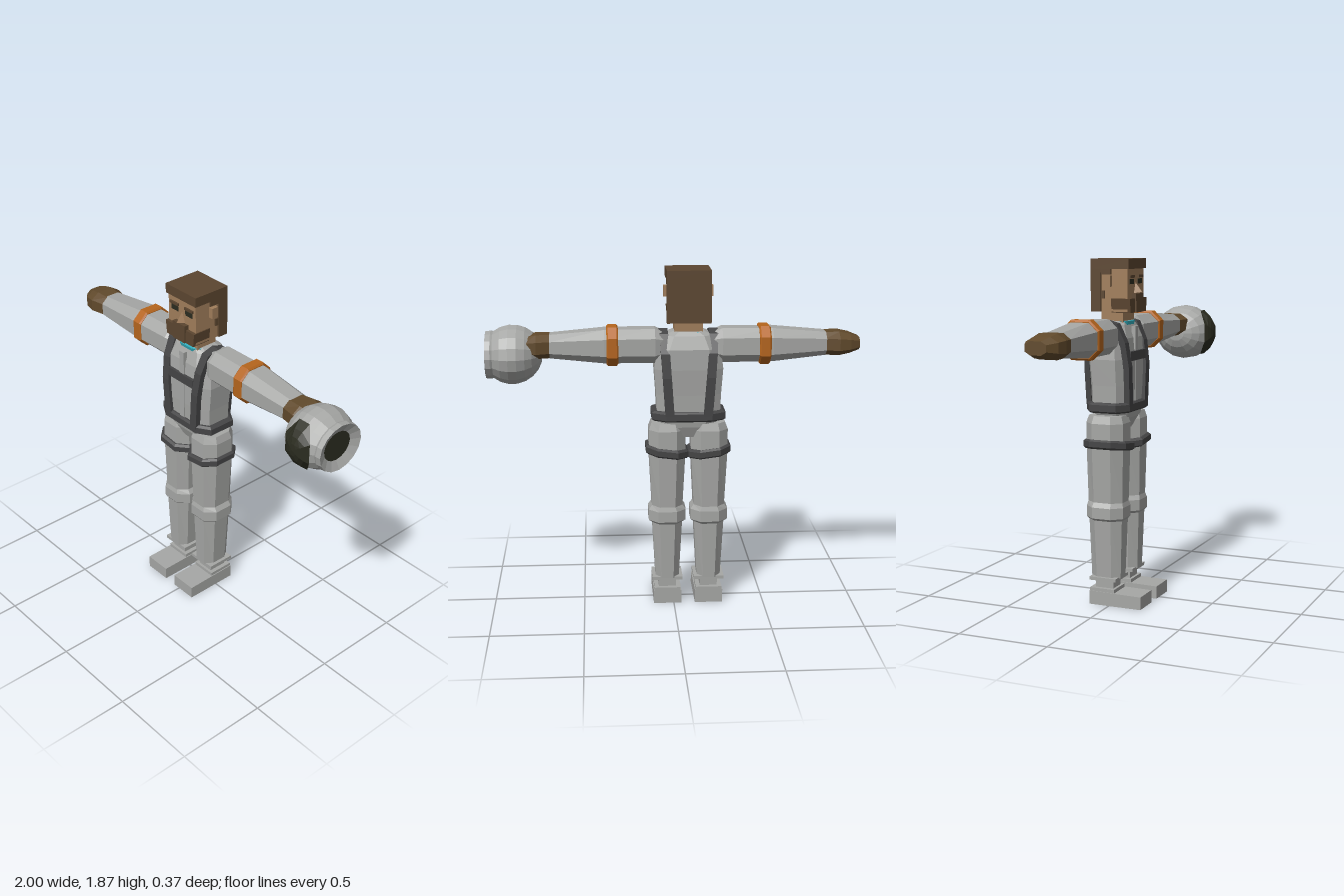
import * as THREE from 'three';
import { ConvexGeometry } from 'three/addons/geometries/ConvexGeometry.js';

const mat = (name, color, side = THREE.FrontSide) => {
  const m = new THREE.MeshStandardMaterial({ color, side });
  m.name = name;
  return m;
};

// Faceted copy of a geometry
const facet = (geo) => {
  const g = geo.index ? geo.toNonIndexed() : geo;
  g.computeVertexNormals();
  return g;
};

// Closed chamfered-octagon loft along y; section = [y, halfX, halfZ, centreZ]
function loft(sections, k = 0.5) {
  const ring = [[1, -k], [1, k], [k, 1], [-k, 1], [-1, k], [-1, -k], [-k, -1], [k, -1]];
  const pos = [], idx = [], n = ring.length;
  for (const [y, w, d, cz = 0] of sections)
    for (const [x, z] of ring) pos.push(x * w, y, cz + z * d);
  const last = (sections.length - 1) * n;
  for (let i = 0; i < last; i += n)
    for (let j = 0; j < n; j++) {
      const a = i + j, b = i + (j + 1) % n;
      idx.push(a, a + n, b + n, a, b + n, b);
    }
  for (let j = 1; j < n - 1; j++) idx.push(0, j, j + 1, last, last + j + 1, last + j);
  const g = new THREE.BufferGeometry();
  g.setAttribute('position', new THREE.Float32BufferAttribute(pos, 3));
  g.setIndex(idx);
  return facet(g);
}

// Box given by its limits
function block(x0, x1, y0, y1, z0, z1) {
  return new THREE.BoxGeometry(x1 - x0, y1 - y0, z1 - z0)
    .translate((x0 + x1) / 2, (y0 + y1) / 2, (z0 + z1) / 2);
}

// Move each vertex by a rule
function warp(g, rule) {
  const p = g.attributes.position, v = new THREE.Vector3();
  for (let i = 0; i < p.count; i++) {
    rule(v.fromBufferAttribute(p, i));
    p.setXYZ(i, v.x, v.y, v.z);
  }
  return facet(g);
}

export function createModel() {
  const suit = mat('suit grey', 0xa6a7a5);
  const webbing = mat('webbing dark grey', 0x454546);
  const orange = mat('armband orange', 0xb5651d);
  const glove = mat('glove brown', 0x614a2c);
  const hair = mat('hair brown', 0x5c4630);
  const skin = mat('skin', 0xa17e5b);
  const cyan = mat('collar cyan', 0x35b4c4);
  const glass = mat('visor dark', 0x2b2c20, THREE.DoubleSide);

  const root = new THREE.Group();
  root.name = 'astronaut';
  const body = new THREE.Group();
  body.name = 'body';
  body.position.x = -0.08;
  root.add(body);
  const add = (name, geo, m, parent = body) => {
    const mesh = new THREE.Mesh(geo, m);
    mesh.name = name;
    parent.add(mesh);
    return mesh;
  };

  // Torso and pelvis
  add('torso', loft([
    [1.07, 0.17, 0.105, -0.03], [1.2, 0.175, 0.11, -0.03], [1.34, 0.185, 0.115, -0.035],
    [1.45, 0.17, 0.11, -0.04], [1.52, 0.13, 0.085, -0.04], [1.54, 0.085, 0.07, -0.035]], 0.62), suit);
  add('pelvis', loft([
    [0.96, 0.04, 0.07, -0.03], [1.02, 0.14, 0.095, -0.03], [1.08, 0.17, 0.105, -0.03]], 0.6), suit);
  add('zipFlap', block(-0.018, 0.018, 1.1, 1.51, 0.06, 0.083), suit);
  add('belt', loft([
    [1.055, 0.185, 0.115, -0.03], [1.065, 0.2, 0.126, -0.03],
    [1.1, 0.2, 0.126, -0.03], [1.11, 0.185, 0.115, -0.03]], 0.62), webbing);
  add('chestStrap', block(-0.1, 0.1, 1.33, 1.38, 0.06, 0.092), webbing);

  // Shoulder straps: a band in the z-y plane, leaning outwards towards the top
  const path = [[0.096, 1.09], [0.098, 1.3], [0.08, 1.43], [0.035, 1.53], [-0.035, 1.55],
    [-0.1, 1.53], [-0.15, 1.43], [-0.162, 1.3], [-0.157, 1.09]];
  const inner = path.map(([z, y]) => [-0.032 + (z + 0.032) * 0.76, 1.09 + (y - 1.09) * 0.92]).reverse();
  const band = new THREE.Shape([...path, ...inner].map(([z, y]) => new THREE.Vector2(z, y)));
  for (const side of [-1, 1]) {
    const g = new THREE.ExtrudeGeometry(band, { depth: 0.048, bevelEnabled: false });
    g.translate(0, 0, -0.024).rotateY(-Math.PI / 2).scale(1, 1, 1);
    add('shoulderStrap', warp(g, (v) => { v.x += side * (0.103 + (v.y - 1.09) * 0.07); }), webbing);
  }

  // Neck and collar
  add('neck', block(-0.075, 0.075, 1.51, 1.6, -0.09, 0.035), skin);
  add('collar', loft([[1.515, 0.075, 0.075, -0.03], [1.538, 0.082, 0.08, -0.028]], 0.6), cyan);

  // Head
  const head = new THREE.Group();
  head.name = 'head';
  body.add(head);
  add('face', block(-0.107, 0.107, 1.59, 1.83, -0.12, 0.075), skin, head);
  add('hairTop', block(-0.118, 0.118, 1.815, 1.868, -0.133, 0.085), hair, head);
  add('hairBack', block(-0.118, 0.118, 1.59, 1.82, -0.133, -0.075), hair, head);
  add('beard', warp(block(-0.113, 0.113, 1.585, 1.66, -0.018, 0.092), (v) => {
    if (v.y < 1.6) v.x *= 0.93;
  }), hair, head);
  add('moustache', block(-0.048, 0.048, 1.645, 1.685, 0.06, 0.1), hair, head);
  add('goatee', block(-0.045, 0.045, 1.585, 1.645, 0.08, 0.1), hair, head);
  add('nose', facet(new ConvexGeometry([
    new THREE.Vector3(0, 1.75, 0.07), new THREE.Vector3(-0.025, 1.685, 0.07),
    new THREE.Vector3(0.025, 1.685, 0.07), new THREE.Vector3(0, 1.692, 0.113)])), skin, head);
  for (const s of [-1, 1]) {
    const part = (name, x0, x1, y0, y1, z0, z1, m) =>
      add(name, block(Math.min(s * x0, s * x1), Math.max(s * x0, s * x1), y0, y1, z0, z1), m, head);
    part('eye', 0.028, 0.082, 1.735, 1.762, 0.073, 0.078, glass);
    part('eyebrow', 0.025, 0.09, 1.768, 1.782, 0.07, 0.084, hair);
    part('ear', 0.1, 0.133, 1.722, 1.78, -0.055, -0.015, skin);
    part('sideHair', 0.1, 0.116, 1.785, 1.82, -0.08, -0.018, hair);
    part('sideburn', 0.1, 0.114, 1.66, 1.7, -0.08, -0.055, hair);
  }

  // Arms and legs on both sides
  for (const s of [-1, 1]) {
    const arm = new THREE.Group();
    arm.name = s > 0 ? 'leftArm' : 'rightArm';
    arm.position.y = 1.463;
    arm.rotation.z = -s * Math.PI / 2;
    body.add(arm);
    add('sleeve', loft([[0.11, 0.06, 0.065, -0.04], [0.18, 0.092, 0.092, -0.043],
      [0.45, 0.09, 0.098, -0.043], [0.74, 0.063, 0.08, -0.032]]), suit, arm);
    add('armband', loft([[0.376, 0.094, 0.1, -0.044], [0.384, 0.103, 0.106, -0.044],
      [0.43, 0.103, 0.106, -0.044], [0.438, 0.094, 0.1, -0.044]]), orange, arm);
    add('glove', loft([[0.73, 0.062, 0.079, -0.03], [0.81, 0.064, 0.097, -0.033],
      [0.87, 0.052, 0.088, -0.035], [0.92, 0.034, 0.058, -0.045]]), glove, arm);

    const leg = new THREE.Group();
    leg.name = s > 0 ? 'leftLeg' : 'rightLeg';
    leg.position.x = s * 0.115;
    body.add(leg);
    add('trouserLeg', loft([
      [0.15, 0.065, 0.085, -0.033], [0.47, 0.082, 0.096, -0.033], [0.485, 0.102, 0.107, -0.033],
      [0.545, 0.102, 0.107, -0.033], [0.57, 0.084, 0.1, -0.033], [0.88, 0.1, 0.107, -0.033],
      [1.0, 0.1, 0.107, -0.033], [1.04, 0.085, 0.095, -0.033]]), suit, leg);
    add('thighBelt', warp(loft([
      [0.852, 0.105, 0.113, -0.031], [0.862, 0.116, 0.125, -0.031],
      [0.892, 0.116, 0.125, -0.031], [0.902, 0.105, 0.113, -0.031]]),
    (v) => { v.y += s * v.x * 0.13; }), webbing, leg);
    add('ankleCuff', block(-0.084, 0.084, 0.138, 0.156, -0.112, 0.045), suit, leg);
    add('ankle', block(-0.048, 0.048, 0.08, 0.15, -0.09, 0.015), suit, leg);
    add('shoe', warp(block(-0.077, 0.077, 0, 0.075, -0.115, 0.187), (v) => {
      if (v.z > 0 && v.y > 0.05) v.y = 0.07;
    }), suit, leg);
    add('shoeHeel', block(-0.072, 0.072, 0, 0.092, -0.115, 0.03), suit, leg);
  }

  // Helmet held by the left hand, its neck opening facing outwards
  const helmet = new THREE.Group();
  helmet.name = 'helmet';
  helmet.position.set(0.94, 1.41, 0);
  body.add(helmet);
  const profile = [];
  for (let i = 0; i <= 8; i++) {
    const a = -Math.PI / 2 + (i / 8) * (Math.PI / 2 + 0.675);
    profile.push(new THREE.Vector2(Math.max(0.161 * Math.cos(a), 0.0001), 0.161 * Math.sin(a)));
  }
  profile.push(new THREE.Vector2(0.13, 0.112), new THREE.Vector2(0.127, 0.14), new THREE.Vector2(0.078, 0.115));
  const lay = (g) => facet(g.rotateZ(-Math.PI / 2).scale(1, 1, 1.12));
  add('helmetShell', lay(new THREE.LatheGeometry(profile, 16)), suit, helmet);
  add('helmetOpening', lay(new THREE.CircleGeometry(0.08, 16).rotateX(-Math.PI / 2).translate(0, 0.116, 0)), glass, helmet);
  add('visor', warp(new THREE.RingGeometry(0.001, 1, 8, 4, Math.PI / 8), (v) => {
    v.x *= 0.088;
    v.y *= 0.142;
    v.z = 0.19 * Math.sqrt(1 - (v.x / 0.167) ** 2 - (v.y / 0.167) ** 2);
  }), glass, helmet);

  return root;
}
